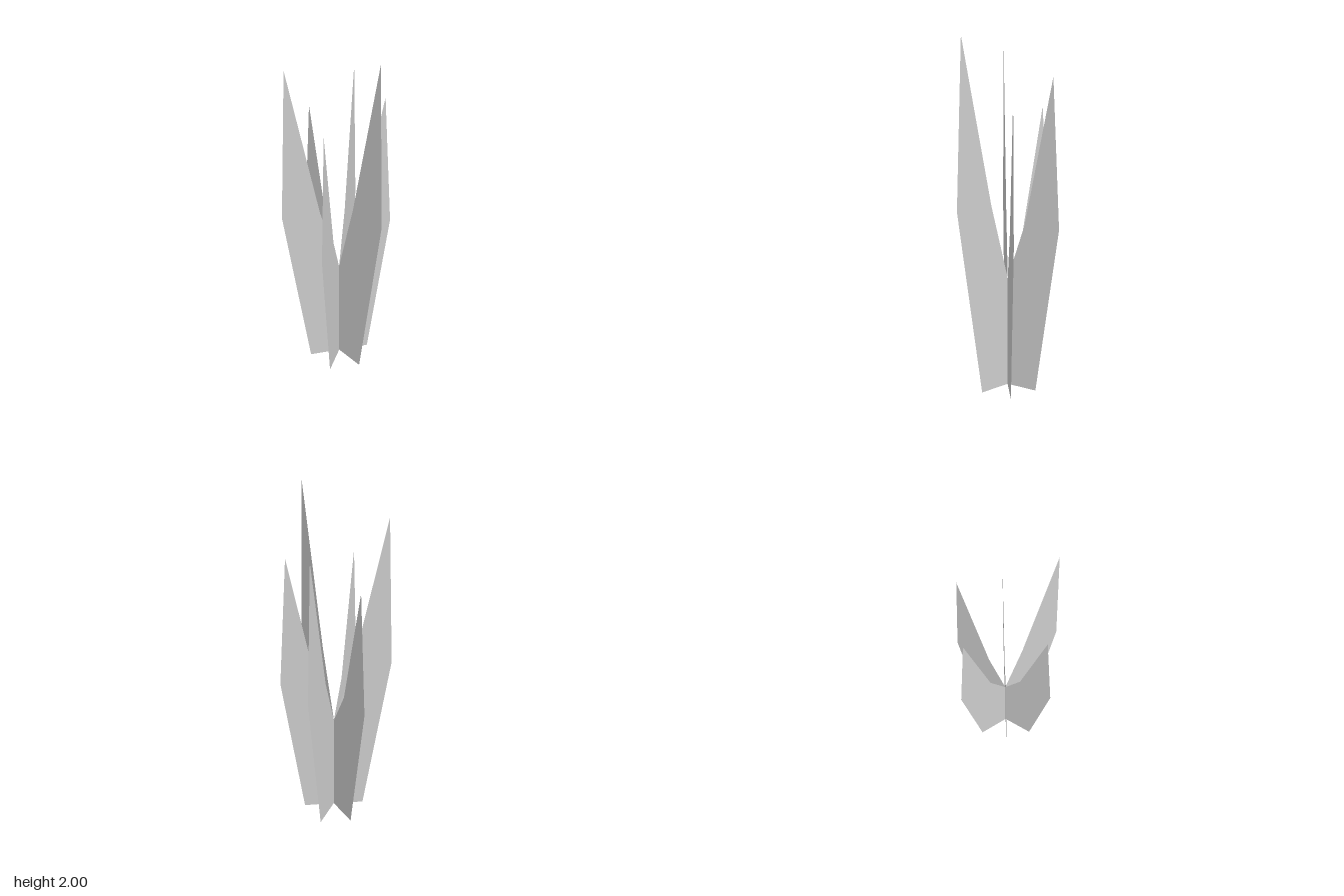
import * as THREE from 'three';

// One flat pointed blade standing beside the shared axis; proportions follow its height.
function bladeGeometry(height) {
  const shoulder = 0.123 + 0.1 * height;
  const tip = 0.012 + 0.135 * height;
  const bend = 0.55 * height;
  return new THREE.ShapeGeometry(new THREE.Shape([
    new THREE.Vector2(0, 0),
    new THREE.Vector2(0.177, 0),
    new THREE.Vector2(shoulder, bend),
    new THREE.Vector2(tip, height),
    new THREE.Vector2(shoulder / 3, bend),
    new THREE.Vector2(0, 0.66),
  ]));
}

export function createModel() {
  const model = new THREE.Group();
  model.name = 'grassTuft';
  const material = new THREE.MeshStandardMaterial({
    color: 0xcccccc, side: THREE.DoubleSide, flatShading: true,
  });

  // Six blades fanned around the axis: [name, degrees from +x towards the back, height]
  const blades = [
    ['leftBlade', 0, 2.0],
    ['backLeftBlade', 61, 1.7],
    ['backRightBlade', 119, 1.79],
    ['rightBlade', 180, 1.6],
    ['frontRightBlade', 240, 1.9],
    ['frontLeftBlade', 299, 1.63],
  ];
  for (const [name, degrees, height] of blades) {
    const blade = new THREE.Mesh(bladeGeometry(height), material);
    blade.name = name;
    blade.position.set(-0.022, 0, -0.003);
    blade.rotation.y = THREE.MathUtils.degToRad(degrees);
    model.add(blade);
  }
  return model;
}
